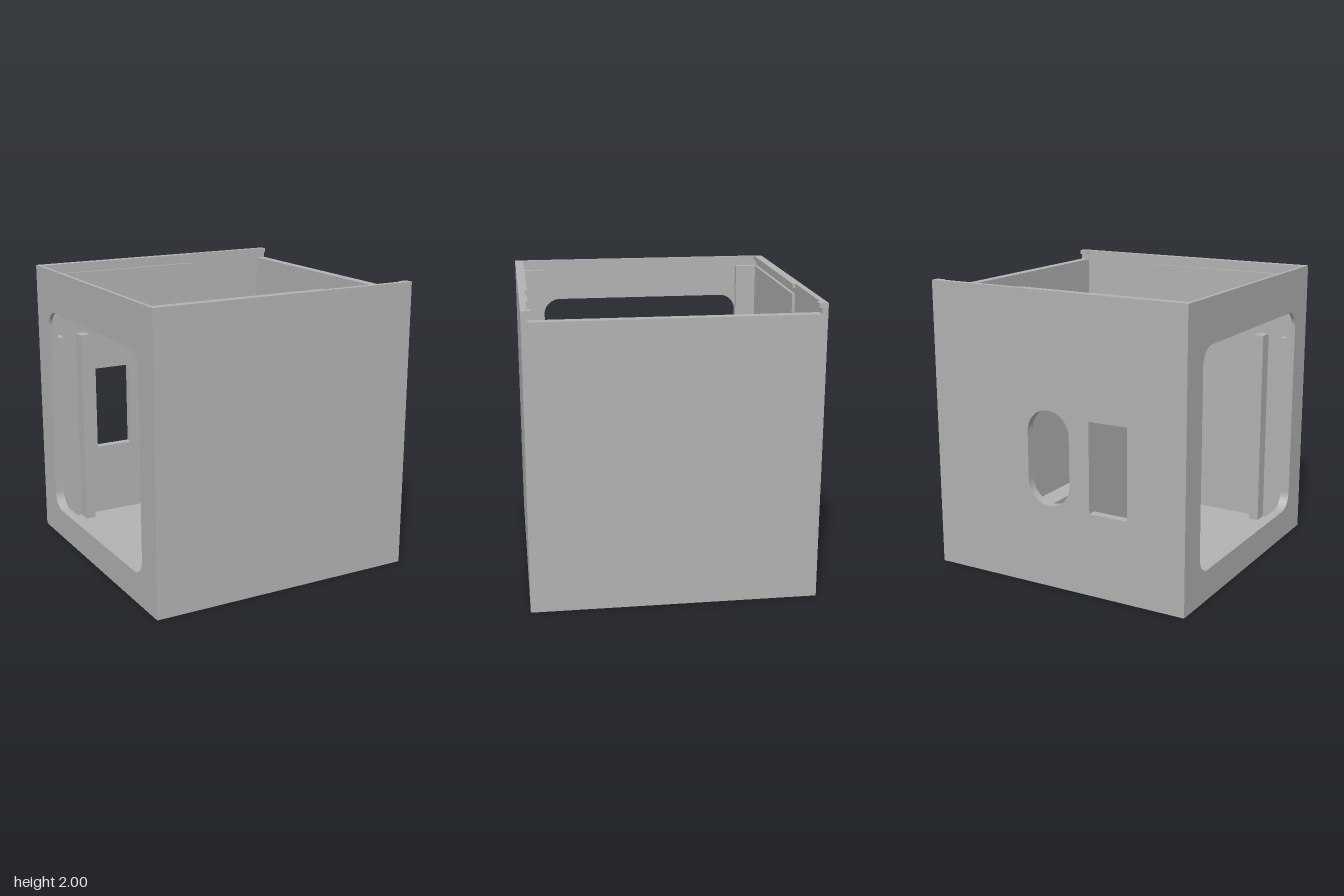
import * as THREE from 'three';
import { toCreasedNormals } from 'three/addons/utils/BufferGeometryUtils.js';

// Outer half width, inner half width, groove half width, floor and ledge heights
const OUT = 0.955, IN = 0.895, GROOVE = 0.915;
const FLOOR = 0.04, LEDGE = 1.93, LIP = 1.97, TOP = 2;
const POST = 1.48;

// Rounded rectangle path; r may be zero
function roundRect(path, x0, y0, x1, y1, r) {
  path.moveTo(x0 + r, y0);
  path.lineTo(x1 - r, y0);
  if (r) path.absarc(x1 - r, y0 + r, r, -Math.PI / 2, 0);
  else path.lineTo(x1, y0);
  path.lineTo(x1, y1 - r);
  if (r) path.absarc(x1 - r, y1 - r, r, 0, Math.PI / 2);
  path.lineTo(x0 + r, y1);
  if (r) path.absarc(x0 + r, y1 - r, r, Math.PI / 2, Math.PI);
  else path.lineTo(x0, y1);
  path.lineTo(x0, y0 + r);
  if (r) path.absarc(x0 + r, y0 + r, r, Math.PI, Math.PI * 1.5);
  return path;
}

function extrude(shape, depth) {
  const g = new THREE.ExtrudeGeometry(shape, { depth, bevelEnabled: false, curveSegments: 12 });
  return toCreasedNormals(g, 0.5);
}

export function createModel() {
  const group = new THREE.Group();
  const grey = new THREE.MeshStandardMaterial({ color: 0xb2b2b2 });
  grey.name = 'plain grey';

  function add(name, geometry) {
    const mesh = new THREE.Mesh(geometry, grey);
    mesh.name = name;
    group.add(mesh);
    return mesh;
  }
  function box(name, x0, x1, y0, y1, z0, z1) {
    add(name, new THREE.BoxGeometry(x1 - x0, y1 - y0, z1 - z0))
      .position.set((x0 + x1) / 2, (y0 + y1) / 2, (z0 + z1) / 2);
  }

  // Floor and the low wall where the lid slides in
  box('floor', -0.93, 0.89, 0, FLOOR, -GROOVE, GROOVE);
  box('lidEntryWall', 0.89, OUT, 0, LEDGE, -GROOVE, GROOVE);

  // Front wall: outer skin and inner lining
  box('frontWall', -OUT, OUT, 0, TOP, GROOVE, OUT);
  box('frontLining', -0.93, 0.28, FLOOR, LEDGE, IN, GROOVE);

  // Back wall with an oval socket opening and a rectangular opening
  function backPanel(name, x0, x1, y0, y1, z0, z1) {
    const shape = roundRect(new THREE.Shape(), x0, y0, x1, y1, 0);
    shape.holes.push(roundRect(new THREE.Path(), -0.11, 0.57, 0.209, 1.22, 0.159));
    shape.holes.push(roundRect(new THREE.Path(), -0.54, 0.57, -0.26, 1.19, 0));
    add(name, extrude(shape, z1 - z0)).position.z = z0;
  }
  backPanel('backWall', -OUT, OUT, 0, TOP, -OUT, -GROOVE);
  backPanel('backLining', -0.93, 0.28, FLOOR, LEDGE, -GROOVE, -IN);

  // Lid rails and screen posts, mirrored front to back
  for (const s of [-1, 1]) {
    const zs = (a, b) => (s > 0 ? [a, b] : [-b, -a]);
    box('lidRail', -0.93, 0.28, LIP, TOP, ...zs(IN, GROOVE));
    box('lidRailEnd', 0.89, OUT, LIP, TOP, ...zs(IN, GROOVE));
    for (const x of [-0.89, -0.69]) {
      box('screenPost', x, x + 0.07, FLOOR, POST, ...zs(0.795, IN));
    }
  }

  // Window wall: outer skin with a rounded window
  const skin = roundRect(new THREE.Shape(), -GROOVE, 0, GROOVE, TOP, 0);
  skin.holes.push(roundRect(new THREE.Path(), -0.745, 0.21, 0.745, 1.7, 0.12));
  const windowWall = add('windowWall', extrude(skin, 0.025));
  windowWall.rotation.y = -Math.PI / 2;
  windowWall.position.x = -0.93;

  // Window lining: U shape open at the top
  const w = 0.745, r = 0.12, sill = 0.21;
  const u = new THREE.Shape();
  u.moveTo(-IN, FLOOR);
  u.lineTo(IN, FLOOR);
  u.lineTo(IN, LEDGE);
  u.lineTo(w, LEDGE);
  u.lineTo(w, sill + r);
  u.absarc(w - r, sill + r, r, 0, -Math.PI / 2, true);
  u.lineTo(-w + r, sill);
  u.absarc(-w + r, sill + r, r, -Math.PI / 2, -Math.PI, true);
  u.lineTo(-w, LEDGE);
  u.lineTo(-IN, LEDGE);
  const lining = add('windowLining', extrude(u, 0.04));
  lining.rotation.y = -Math.PI / 2;
  lining.position.x = -0.89;

  // Inner partitions forming the socket bay
  box('bayWall', -0.18, -0.11, FLOOR, POST, -IN, 0.16);
  box('partition', 0.21, 0.28, FLOOR, POST, -IN, 0.52);
  box('bayBlock', 0.07, 0.21, FLOOR, POST, -0.37, 0.16);
  box('bayShelf', 0.07, 0.21, FLOOR, 0.56, -IN, -0.37);
  box('bayFloor', -0.11, 0.07, FLOOR, 0.3, -IN, 0.16);

  return group;
}
